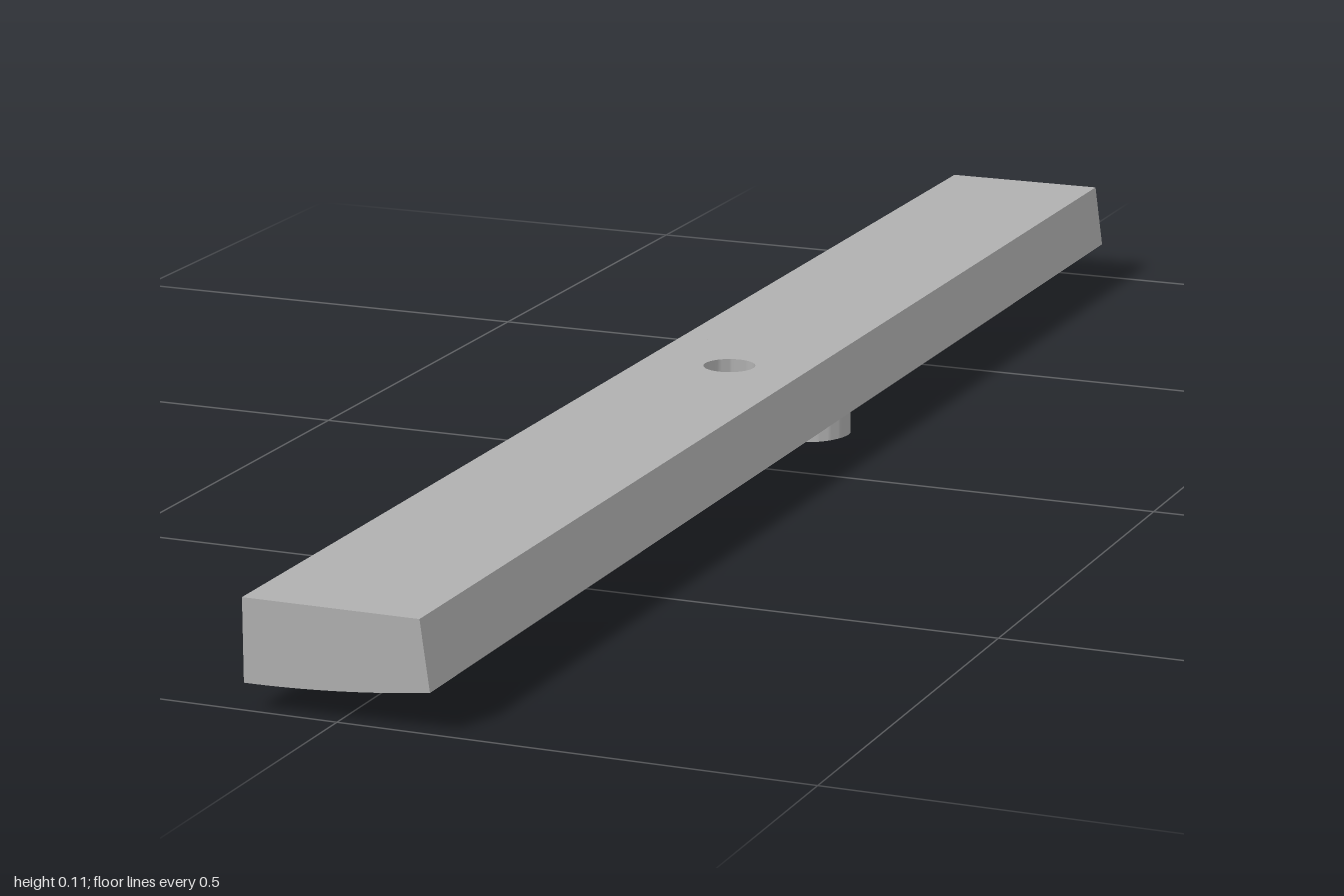
import * as THREE from 'three';
import { toCreasedNormals } from 'three/addons/utils/BufferGeometryUtils.js';

const TOP = 0.115, MID = 0.1, HOLE = 0.029, RELIEF = 0.028, W = 0.012;
// height of the gently curved underside
const under = (x) => 0.028 + 0.014 * ((x + 0.1) / 0.2) ** 2;

export function createModel() {
  const grey = new THREE.MeshStandardMaterial({ color: 0xb0b0b0 });
  grey.name = 'plain grey';
  const group = new THREE.Group();
  const add = (name, geometry) => {
    const mesh = new THREE.Mesh(toCreasedNormals(geometry, 0.5), grey);
    mesh.name = name;
    group.add(mesh);
  };

  // bar ends: constant section with slanted side and curved underside
  const section = new THREE.Shape();
  section.moveTo(-0.1, TOP);
  for (let i = 0; i <= 16; i++) {
    const x = -0.1 + (0.2 * i) / 16;
    section.lineTo(x, under(x));
  }
  section.lineTo(0.09, TOP);
  for (const [name, z] of [['barFront', MID], ['barBack', -1]]) {
    const g = new THREE.ExtrudeGeometry(section, { depth: 1 - MID, bevelEnabled: false });
    add(name, g.translate(0, 0, z));
  }

  // bar middle: rings from the hole to a square outline, over and back under
  const N = 64;
  const point = (k, a) => {
    const c = Math.cos(a), s = Math.sin(a), m = MID / Math.max(Math.abs(c), Math.abs(s));
    if (k === 0 || k === 7) return [HOLE * c, TOP, HOLE * s];
    if (k === 1) return [Math.min(m * c, 0.09), TOP, m * s];
    const r = THREE.MathUtils.lerp(m, HOLE, (k - 2) / 4);
    return [r * c, under(r * c), r * s];
  };
  const pos = [];
  for (let k = 0; k < 7; k++) {
    for (let i = 0; i < N; i++) {
      const a = (i / N) * Math.PI * 2, b = ((i + 1) / N) * Math.PI * 2;
      const p = point(k, a), q = point(k + 1, a), r = point(k + 1, b), s = point(k, b);
      pos.push(...p, ...r, ...q, ...p, ...s, ...r);
    }
  }
  const middle = new THREE.BufferGeometry();
  middle.setAttribute('position', new THREE.Float32BufferAttribute(pos, 3));
  middle.computeVertexNormals();
  add('barMiddleWithHole', middle);

  // raised relief: a plan outline (x, -z) that follows the underside
  const relief = (name, shape) => {
    const g = new THREE.ExtrudeGeometry(shape, {
      depth: RELIEF + 0.003, bevelEnabled: false, curveSegments: 28,
    }).rotateX(-Math.PI / 2);
    const p = g.attributes.position;
    for (let i = 0; i < p.count; i++) p.setY(i, p.getY(i) + under(p.getX(i)) - RELIEF);
    g.computeVertexNormals();
    add(name, g);
  };
  const ridge = (x0, z0, x1, z1) => {
    const d = new THREE.Vector2(x1 - x0, z0 - z1).normalize().multiplyScalar(W / 2);
    relief('ridge', new THREE.Shape([
      new THREE.Vector2(x0 - d.y, -z0 + d.x), new THREE.Vector2(x1 - d.y, -z1 + d.x),
      new THREE.Vector2(x1 + d.y, -z1 - d.x), new THREE.Vector2(x0 + d.y, -z0 - d.x),
    ]));
  };
  const ring = (x, z, r) => {
    const s = new THREE.Shape().absarc(x, -z, r, 0, Math.PI * 2);
    s.holes.push(new THREE.Path().absarc(x, -z, r - W, 0, Math.PI * 2, true));
    relief('raisedRing', s);
  };
  // arc open towards the back (-z), or the front when flipped
  const arc = (x, z, r, flip = 0, half = 1.95) => {
    const mid = -Math.PI / 2 + flip * Math.PI;
    const s = new THREE.Shape();
    s.absarc(x, -z, r, mid - half, mid + half, false);
    s.absarc(x, -z, r - W, mid + half, mid - half, true);
    relief('raisedArc', s);
  };

  // straight ridges
  ridge(0.025, 0.65, -0.035, 0.65);
  ridge(0.035, 0.48, 0.035, 0.275);
  ridge(-0.085, 0.24, -0.085, 0.09);
  ridge(-0.085, -0.26, -0.085, -0.41);
  ridge(-0.02, -0.935, 0.02, -0.975);

  // spine with two rings
  ridge(0.035, 0.37, -0.09, 0.37);
  ring(-0.01, 0.398, 0.028);
  ring(-0.062, 0.398, 0.028);

  // paired arcs, each with a short ridge beside them
  for (const [x, z] of [[0.063, -0.125], [0.006, -0.62]]) {
    arc(x, z, 0.032);
    arc(x - 0.055, z, 0.03);
    ridge(x - 0.08, z - 0.015, x - 0.08, z - 0.105);
  }

  // small arcs beside the hole
  arc(-0.062, -0.07, 0.026, 0, 1.5);
  arc(-0.07, 0.045, 0.024, 1, 1.5);

  return group;
}
